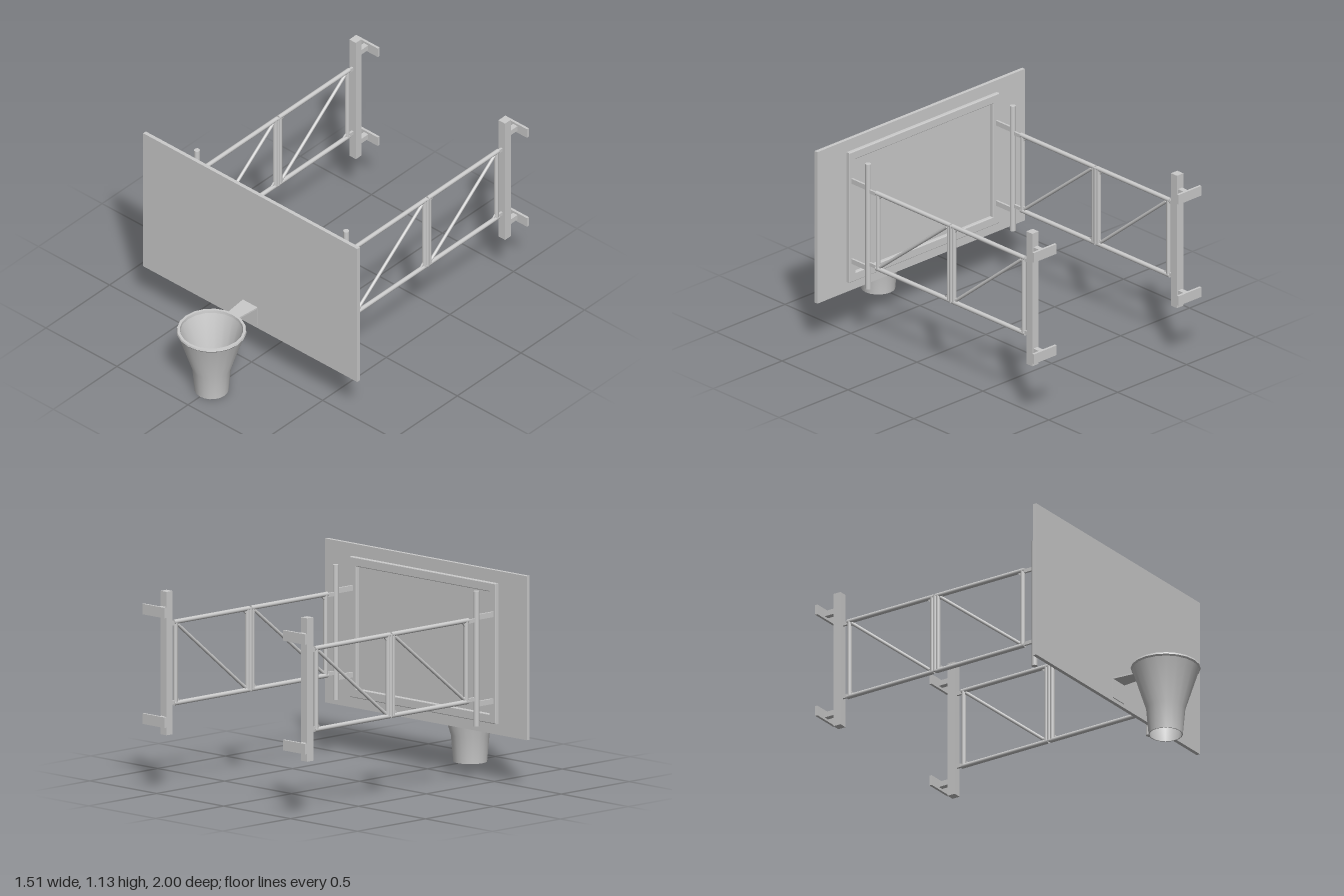
import * as THREE from 'three';
import { toCreasedNormals } from 'three/addons/utils/BufferGeometryUtils.js';

const material = new THREE.MeshStandardMaterial({ color: 0xcccccc, side: THREE.DoubleSide });

function add(parent, name, geometry, x = 0, y = 0, z = 0) {
  const mesh = new THREE.Mesh(geometry, material);
  mesh.name = name;
  mesh.position.set(x, y, z);
  parent.add(mesh);
  return mesh;
}

// Box given by its limits in y and z, centred on x
function box(parent, name, width, y0, y1, z0, z1) {
  return add(parent, name, new THREE.BoxGeometry(width, y1 - y0, z1 - z0), 0, (y0 + y1) / 2, (z0 + z1) / 2);
}

// Round bar between two points [y, z] in the plane x = 0
function bar(parent, name, [y0, z0], [y1, z1], radius) {
  const a = new THREE.Vector3(0, y0, z0);
  const b = new THREE.Vector3(0, y1, z1);
  const mesh = add(parent, name, new THREE.CylinderGeometry(radius, radius, a.distanceTo(b), 14));
  mesh.position.copy(a).lerp(b, 0.5);
  mesh.quaternion.setFromUnitVectors(new THREE.Vector3(0, 1, 0), b.sub(a).normalize());
  return mesh;
}

// One welded truss panel between two z positions
function trussPanel(front, back) {
  const panel = new THREE.Group();
  panel.name = 'trussPanel';
  const r = 0.0125, low = 0.458, high = 0.892;
  const f = front - r, b = back + r;
  bar(panel, 'topRail', [high, front], [high, back], r);
  bar(panel, 'bottomRail', [low, front], [low, back], r);
  bar(panel, 'frontUpright', [low, f], [high, f], r);
  bar(panel, 'backUpright', [low, b], [high, b], r);
  bar(panel, 'diagonalBrace', [low + 0.015, f - 0.015], [high - 0.015, b + 0.015], 0.009);
  // Triangular corner gussets, drawn in (z, y) and turned into the truss plane
  for (const [y, sy] of [[low, 1], [high, -1]]) {
    for (const [z, sz] of [[f, -1], [b, 1]]) {
      const shape = new THREE.Shape([
        new THREE.Vector2(-z, y),
        new THREE.Vector2(-z - sz * 0.04, y),
        new THREE.Vector2(-z, y + sy * 0.04),
      ]);
      const plate = new THREE.ExtrudeGeometry(shape, { depth: 0.01, bevelEnabled: false });
      plate.translate(0, 0, -0.005).rotateY(Math.PI / 2);
      add(panel, 'gusset', plate);
    }
  }
  return panel;
}

// Wall post, folding truss and front pole for one side
function supportArm(side) {
  const arm = new THREE.Group();
  arm.name = side > 0 ? 'leftArm' : 'rightArm';
  arm.position.x = side * 0.525;

  box(arm, 'wallPost', 0.046, 0.3, 1.065, -0.925, -0.88);
  for (const y of [0.385, 0.97]) {
    box(arm, 'wallStem', 0.03, y - 0.015, y + 0.015, -0.988, -0.925);
    box(arm, 'wallPlate', 0.165, y - 0.028, y + 0.028, -1, -0.986);
  }

  arm.add(trussPanel(0.28, -0.284), trussPanel(-0.296, -0.85));
  bar(arm, 'middleHinge', [0.455, -0.29], [0.895, -0.29], 0.014);

  bar(arm, 'frontPole', [0.32, 0.343], [1.04, 0.343], 0.016);
  for (const y of [0.465, 0.885]) {
    box(arm, 'frontHingeTab', 0.012, y - 0.01, y + 0.01, 0.275, 0.335);
    box(arm, 'backHingeTab', 0.012, y - 0.01, y + 0.01, -0.885, -0.845);
  }
  for (const y of [0.437, 0.9]) {
    box(arm, 'boardTab', 0.012, y - 0.014, y + 0.014, 0.335, 0.47);
  }
  return arm;
}

// Rectangular ring with softened edges behind the board
function backFrame() {
  const w = 0.541, y0 = 0.319, y1 = 1.061, t = 0.04;
  const rect = (Kind, d) => new Kind([
    new THREE.Vector2(-w + d, y0 + d), new THREE.Vector2(w - d, y0 + d),
    new THREE.Vector2(w - d, y1 - d), new THREE.Vector2(-w + d, y1 - d),
  ]);
  const shape = rect(THREE.Shape, 0);
  shape.holes.push(rect(THREE.Path, t));
  return new THREE.ExtrudeGeometry(shape, {
    depth: 0.017, bevelThickness: 0.004, bevelSize: 0.004, bevelSegments: 2,
  });
}

// Rim, net and bracket
function hoop() {
  const group = new THREE.Group();
  group.name = 'hoop';
  const lathe = (pts) => toCreasedNormals(
    new THREE.LatheGeometry(pts.map(([r, y]) => new THREE.Vector2(r, y)), 20), 0.5);

  add(group, 'net', lathe([
    [0.09, 0], [0.103, 0.145], [0.178, 0.378],
    [0.168, 0.378], [0.098, 0.145], [0.085, 0], [0.09, 0],
  ]), 0, 0, 0.815);
  add(group, 'rim', lathe([
    [0.165, 0.376], [0.178, 0.374], [0.184, 0.382],
    [0.181, 0.392], [0.167, 0.392], [0.165, 0.376],
  ]), 0, 0, 0.815);

  // Tapered arm from the board to the rim
  const shape = new THREE.Shape([
    new THREE.Vector2(-0.052, -0.508), new THREE.Vector2(-0.038, -0.645),
    new THREE.Vector2(0.038, -0.645), new THREE.Vector2(0.052, -0.508),
  ]);
  const arm = new THREE.ExtrudeGeometry(shape, { depth: 0.009, bevelEnabled: false });
  arm.rotateX(-Math.PI / 2);
  add(group, 'bracketArm', arm, 0, 0.382, 0);
  box(group, 'bracketPlate', 0.104, 0.275, 0.391, 0.508, 0.516);
  return group;
}

export function createModel() {
  const model = new THREE.Group();
  model.name = 'wallMountedHoop';
  box(model, 'backboard', 1.506, 0.255, 1.13, 0.49, 0.511);
  add(model, 'backFrame', backFrame(), 0, 0, 0.469);
  model.add(hoop(), supportArm(1), supportArm(-1));
  return model;
}
